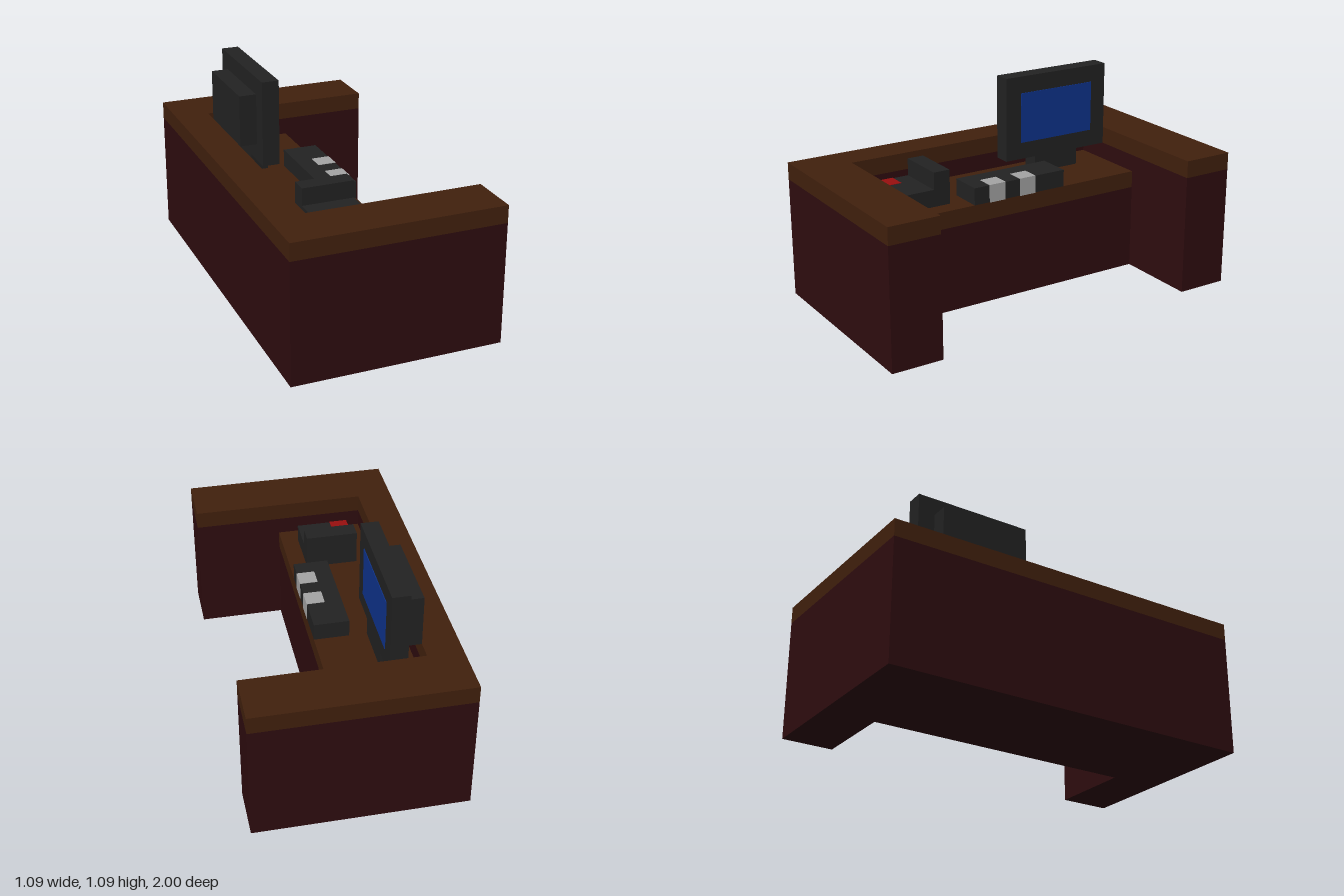
import * as THREE from 'three';

const U = 1 / 11; // size of one block

const mat = (name, color) => {
  const m = new THREE.MeshStandardMaterial({ color });
  m.name = name;
  return m;
};

export function createModel() {
  const wood = mat('brown wood', 0x41200d);
  const panel = mat('dark red panel', 0x2e0c0f);
  const plastic = mat('black plastic', 0x222222);
  const keys = mat('light grey keys', 0xa4a4a4);
  const red = mat('red button', 0x990f0f);
  const blue = mat('blue screen', 0x0e338c);

  const model = new THREE.Group();
  model.name = 'receptionDesk';

  const group = (name) => {
    const g = new THREE.Group();
    g.name = name;
    model.add(g);
    return g;
  };

  // Box from its [min, max] ranges in block units, grown by an optional amount
  const box = (parent, name, material, x, y, z, grow = 0) => {
    const size = [x, y, z].map(([a, b]) => (b - a) * U + grow * 2);
    const mesh = new THREE.Mesh(new THREE.BoxGeometry(...size), material);
    mesh.position.set(...[x, y, z].map(([a, b]) => ((a + b) / 2) * U));
    mesh.name = name;
    parent.add(mesh);
  };

  // U-shaped counter plan: back wall with two arms reaching to +x
  const plan = new THREE.Shape(
    [[-6, -11], [6, -11], [6, -8], [-4, -8], [-4, 8], [6, 8], [6, 11], [-6, 11]]
      .map(([x, z]) => new THREE.Vector2(x * U, z * U))
  );
  const counter = group('counter');
  const layer = (name, material, y0, y1) => {
    const geo = new THREE.ExtrudeGeometry(plan, { depth: (y1 - y0) * U, bevelEnabled: false });
    geo.rotateX(-Math.PI / 2);
    const mesh = new THREE.Mesh(geo, material);
    mesh.position.y = y0 * U;
    mesh.name = name;
    counter.add(mesh);
  };
  layer('counterWalls', panel, 0, 7);
  layer('counterTop', wood, 7, 8);

  // Lower work surface inside the U
  const desk = group('desk');
  box(desk, 'deskBase', panel, [-4, 1], [0, 5], [-8, 8]);
  box(desk, 'deskTop', wood, [-4, 1], [5, 6], [-8, 8]);

  // Monitor facing +x
  const monitor = group('monitor');
  box(monitor, 'monitorStand', plastic, [-3, -2], [6, 7], [-6, -3]);
  box(monitor, 'monitorFrame', plastic, [-3, -2], [7, 12], [-8, -1]);
  box(monitor, 'monitorBack', plastic, [-4, -3], [8, 11], [-7, -2]);
  box(monitor, 'screen', blue, [-2, -1.96], [8, 11], [-7, -2]);

  // Keyboard with two light keys
  const keyboard = group('keyboard');
  box(keyboard, 'keyboardBody', plastic, [-1, 1], [6, 7], [-3, 3]);
  for (const z of [-1, 1]) box(keyboard, 'key', keys, [0, 1], [6, 7], [z, z + 1], 0.002);

  // Telephone with raised handset and red button
  const phone = group('telephone');
  box(phone, 'phoneBase', plastic, [-3, 0], [6, 7], [5, 7]);
  box(phone, 'handset', plastic, [-3, 0], [6, 8], [4, 5]);
  box(phone, 'button', red, [-3, -2], [6, 7], [6, 7], 0.002);

  return model;
}
